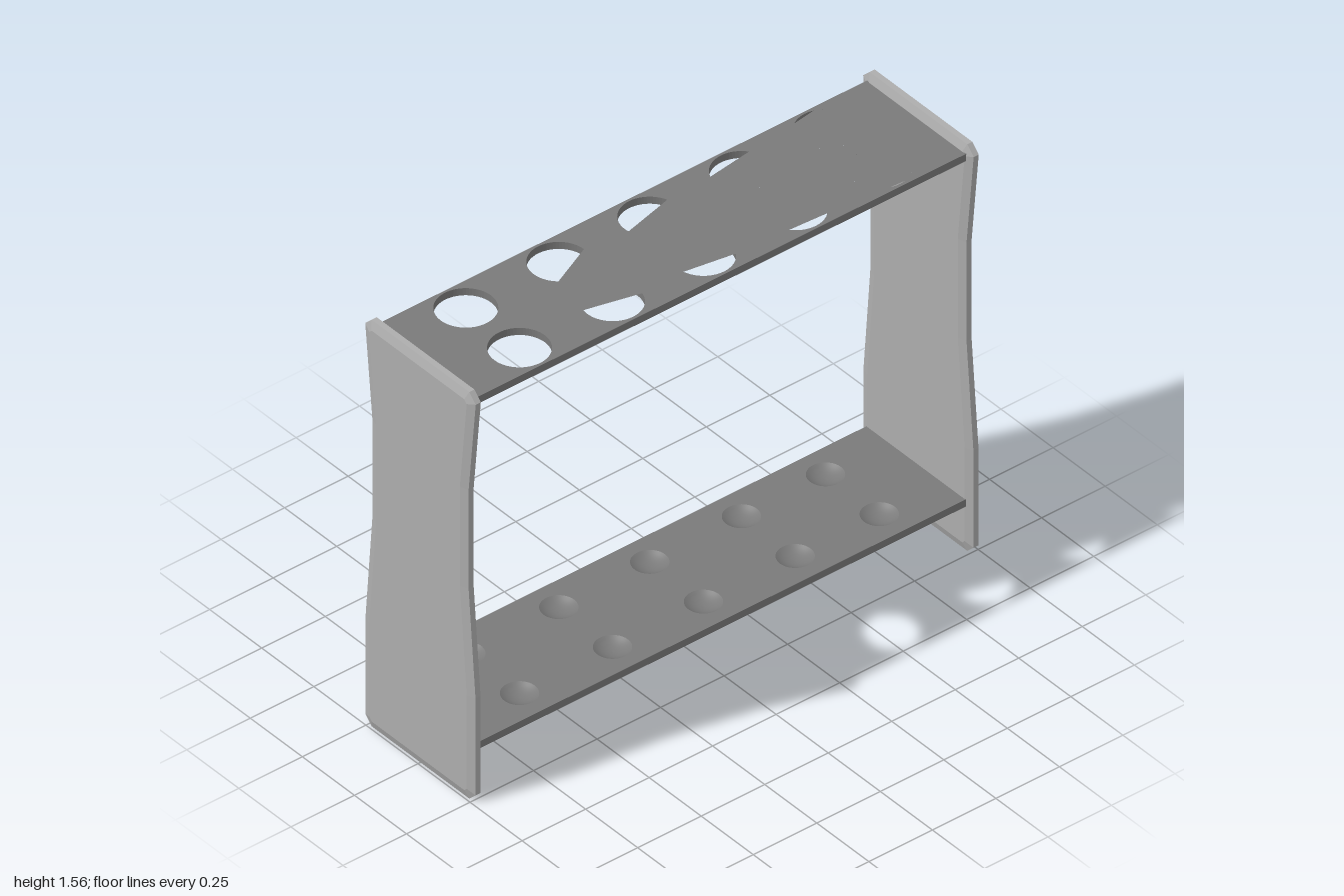
import * as THREE from 'three';

const panelMaterial = new THREE.MeshStandardMaterial({ color: 0xadadad });
const shelfMaterial = new THREE.MeshStandardMaterial({ color: 0x7a7a7a });
const bowlMaterial = new THREE.MeshStandardMaterial({ color: 0x7a7a7a, side: THREE.DoubleSide });

const HALF_LENGTH = 0.965, HALF_DEPTH = 0.238, THICKNESS = 0.027;
const TOP_Y = 1.499, BOTTOM_Y = 0.176;
const HOLE_RADIUS = 0.099, DIMPLE_RADIUS = 0.06, DIMPLE_DEPTH = 0.02;
const ROWS = [-0.13, 0.128];
const COLUMNS = [-0.705, -0.339, 0.019, 0.38, 0.711];
const ROUND = 64; // sides of every round opening

// Open arc (start, end, in degrees, 90 = back) of each hole; null is fully open
const OPEN_ARCS = [
  [null, [0, 230], [18, 190], [37, 158], [72, 125]],
  [null, [167, 345], [193, 328], [220, 313], [250, 283]],
];

// Positions of the two rows of five tubes
const slots = ROWS.flatMap((z, row) =>
  COLUMNS.map((x, i) => ({ x, z, arc: OPEN_ARCS[row][i] })));

function addMesh(parent, name, geometry, material) {
  const mesh = new THREE.Mesh(geometry, material);
  mesh.name = name;
  parent.add(mesh);
  return mesh;
}

// Horizontal board with a round hole at every slot
function boardGeometry(radius, y) {
  const shape = new THREE.Shape([
    new THREE.Vector2(-HALF_LENGTH, -HALF_DEPTH), new THREE.Vector2(HALF_LENGTH, -HALF_DEPTH),
    new THREE.Vector2(HALF_LENGTH, HALF_DEPTH), new THREE.Vector2(-HALF_LENGTH, HALF_DEPTH),
  ]);
  for (const { x, z } of slots) {
    shape.holes.push(new THREE.Path().absarc(x, -z, radius, 0, Math.PI * 2, true));
  }
  return new THREE.ExtrudeGeometry(shape, { depth: THICKNESS, bevelEnabled: false, curveSegments: ROUND / 2 })
    .rotateX(-Math.PI / 2).translate(0, y, 0);
}

// Waisted end panel with clipped corners and shallow chamfers
function panelGeometry() {
  const core = 0.02;
  const half = [[0.222, 0.03], [0.234, 0.042], [0.234, 0.4], [0.201, 0.8],
    [0.201, 1.18], [0.234, 1.515], [0.222, 1.527]];
  const points = [
    ...half.map(([z, y]) => new THREE.Vector2(z, y)),
    ...half.map(([z, y]) => new THREE.Vector2(-z, y)).reverse(),
  ];
  return new THREE.ExtrudeGeometry(new THREE.Shape(points), {
    depth: core, bevelEnabled: true, bevelSize: 0.03, bevelThickness: 0.01, bevelSegments: 1,
  }).translate(0, 0, -core / 2).rotateY(-Math.PI / 2);
}

export function createModel() {
  const rack = new THREE.Group();
  rack.name = 'tubeRack';

  // End panels
  for (const side of [-1, 1]) {
    addMesh(rack, side > 0 ? 'leftEndPanel' : 'rightEndPanel', panelGeometry(), panelMaterial)
      .position.x = side * 0.98;
  }

  // Upper shelf, with the one-sided skins that partly close its holes
  const upper = new THREE.Group();
  upper.name = 'upperShelf';
  rack.add(upper);
  addMesh(upper, 'upperBoard', boardGeometry(HOLE_RADIUS, TOP_Y), shelfMaterial);
  for (const { x, z, arc } of slots) {
    if (!arc) continue;
    const [start, end] = arc.map(THREE.MathUtils.degToRad);
    const cover = new THREE.Shape();
    cover.absarc(0, 0, HOLE_RADIUS, end, start + Math.PI * 2, false);
    addMesh(upper, 'holeCover', new THREE.ShapeGeometry(cover, ROUND / 2).rotateX(-Math.PI / 2), shelfMaterial)
      .position.set(x, TOP_Y + THICKNESS, z);
  }

  // Lower shelf, with a shallow round dimple under each hole
  const lower = new THREE.Group();
  lower.name = 'lowerShelf';
  rack.add(lower);
  addMesh(lower, 'lowerBoard', boardGeometry(DIMPLE_RADIUS, BOTTOM_Y), shelfMaterial);
  const sphereRadius = (DIMPLE_RADIUS ** 2 + DIMPLE_DEPTH ** 2) / (2 * DIMPLE_DEPTH);
  const sweep = Math.asin(DIMPLE_RADIUS / sphereRadius);
  const profile = Array.from({ length: 7 }, (_, i) => {
    const a = sweep * i / 6;
    return new THREE.Vector2(sphereRadius * Math.sin(a),
      THICKNESS - DIMPLE_DEPTH + sphereRadius * (1 - Math.cos(a)));
  });
  const bowl = new THREE.LatheGeometry(profile, ROUND);
  const base = new THREE.CircleGeometry(DIMPLE_RADIUS, ROUND).rotateX(Math.PI / 2);
  for (const { x, z } of slots) {
    addMesh(lower, 'tubeDimple', bowl, bowlMaterial).position.set(x, BOTTOM_Y, z);
    addMesh(lower, 'dimpleBase', base, shelfMaterial).position.set(x, BOTTOM_Y, z);
  }
  return rack;
}
